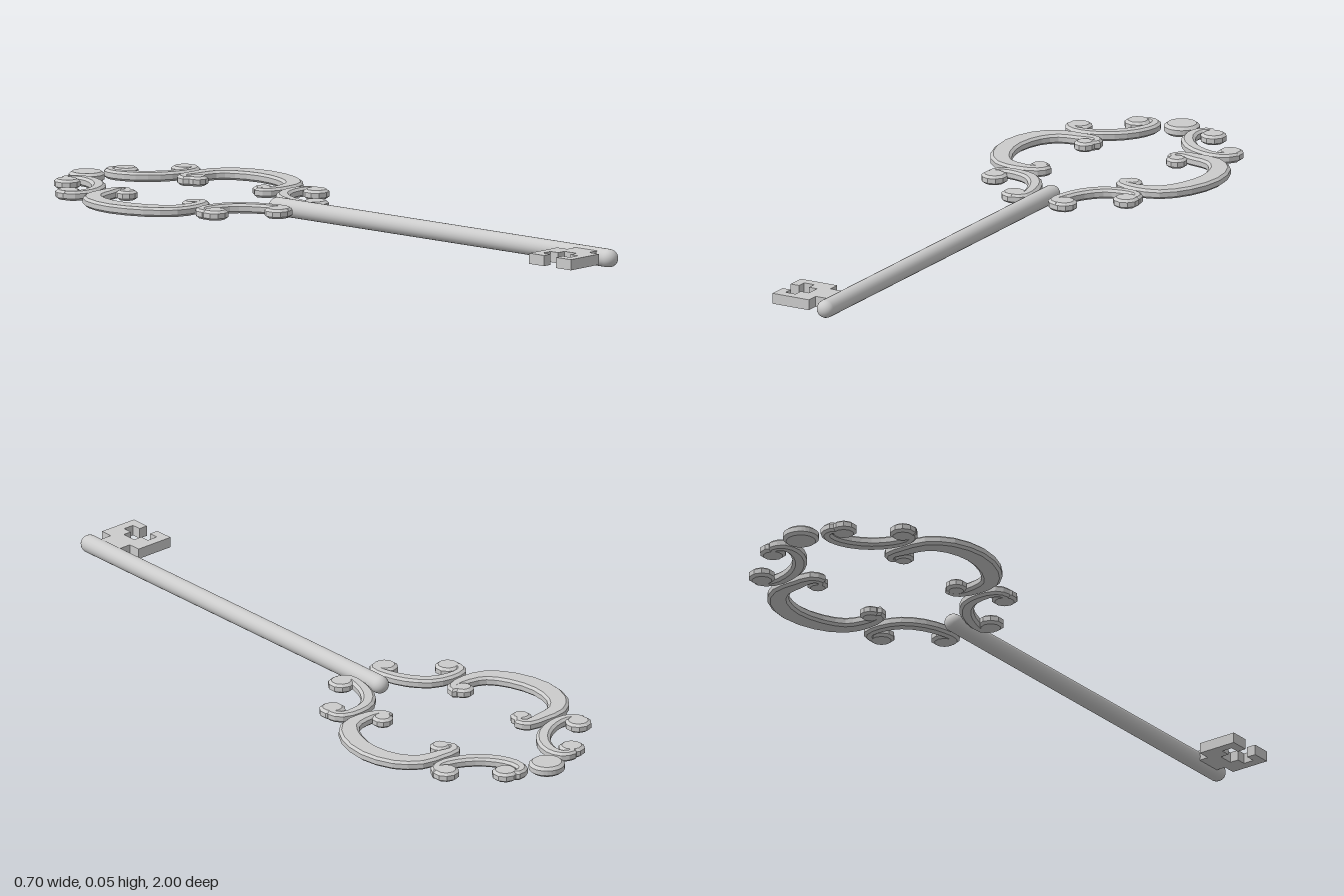
import * as THREE from 'three';

const MID = 0.0265, HALF = 0.0135; // height of the flat metalwork

export function createModel() {
  const group = new THREE.Group();
  const smooth = new THREE.MeshStandardMaterial({ color: 0xcccccc });
  const flat = new THREE.MeshStandardMaterial({ color: 0xcccccc, flatShading: true });
  const add = (name, geometry, material, parent = group) => {
    const mesh = new THREE.Mesh(geometry, material);
    mesh.name = name;
    parent.add(mesh);
    return mesh;
  };

  // Bevelled ribbon swept along a flat path, half width w(t)
  function ribbon(points, w) {
    const curve = new THREE.CatmullRomCurve3(points.map(([x, z]) => new THREE.Vector3(x, 0, z)));
    const n = (points.length - 1) * 2, pos = [], idx = [];
    for (let i = 0; i <= n; i++) {
      const t = i / n, p = curve.getPoint(t), d = curve.getTangent(t), h = w(t), b = Math.min(0.008, h * 0.5);
      const section = [[h, -0.007], [h, 0.007], [h - b, HALF], [b - h, HALF], [-h, 0.007], [-h, -0.007], [b - h, -HALF], [h - b, -HALF]];
      for (const [s, y] of section) pos.push(p.x + d.z * s, MID + y, p.z - d.x * s);
    }
    for (let i = 0; i < n; i++) for (let j = 0; j < 8; j++) {
      const a = i * 8 + j, b = i * 8 + (j + 1) % 8;
      idx.push(a, b, a + 8, b, b + 8, a + 8);
    }
    for (let j = 1; j < 7; j++) idx.push(0, j + 1, j, n * 8, n * 8 + j, n * 8 + j + 1);
    const g = new THREE.BufferGeometry();
    g.setAttribute('position', new THREE.Float32BufferAttribute(pos, 3));
    g.setIndex(idx);
    g.computeVertexNormals();
    return g;
  }

  // Bevelled disc
  const disc = (r, sides, h = HALF) => new THREE.LatheGeometry(
    [[0, -h], [r - 0.009, -h], [r, -0.007], [r, 0.007], [r - 0.009, h], [0, h]].map(p => new THREE.Vector2(...p)), sides);

  // Bow: three scrolls per side, [x, z] centre lines; mid = half width at the middle
  const scrolls = [
    { name: 'upperScroll', mid: 0.02, r: 0.037, path: [[0.122, -0.915], [0.1, -0.942], [0.074, -0.931], [0.066, -0.894],
      [0.085, -0.841], [0.127, -0.794], [0.18, -0.767], [0.233, -0.762], [0.265, -0.788], [0.243, -0.804]] },
    { name: 'sideScroll', mid: 0.032, r: 0.03, path: [[0.148, -0.672], [0.122, -0.693], [0.138, -0.716], [0.185, -0.714],
      [0.249, -0.704], [0.296, -0.656], [0.317, -0.567], [0.296, -0.471], [0.249, -0.407], [0.19, -0.392],
      [0.138, -0.4], [0.122, -0.422], [0.148, -0.429]] },
    { name: 'lowerScroll', mid: 0.02, r: 0.037, path: [[0.212, -0.291], [0.232, -0.312], [0.217, -0.339], [0.169, -0.345],
      [0.116, -0.328], [0.074, -0.28], [0.052, -0.222], [0.047, -0.175], [0.069, -0.156], [0.08, -0.177]] },
  ];
  for (const [side, sx] of [['left', 1], ['right', -1]]) {
    for (const s of scrolls) {
      const part = new THREE.Group();
      part.name = `${side} ${s.name}`;
      const path = s.path.map(([x, z]) => [x * sx, z]);
      add('stem', ribbon(path, t => 0.013 + (s.mid - 0.013) * Math.sin(Math.PI * t) ** 2), flat, part);
      for (const [x, z] of [path[0], path[path.length - 1]])
        add('curlEnd', disc(s.r, 10), flat, part).position.set(x, MID, z);
      group.add(part);
    }
  }

  // Round stud at the tip of the bow
  add('tipDisc', disc(0.05, 28, 0.0145), flat).position.set(0, 0.0255, -0.95);

  // Shaft with rounded ends
  const shaft = add('shaft', new THREE.CapsuleGeometry(0.0255, 1.219, 6, 24), smooth);
  shaft.rotation.x = Math.PI / 2;
  shaft.position.set(-0.002, 0.0255, 0.365);

  // Bit: two facing hooks, mirrored about its middle line
  const half = [[0, 0.04], [-0.053, 0.04], [-0.053, 0.077], [-0.17, 0.077], [-0.17, 0.022], [-0.143, 0.022],
    [-0.143, 0.05], [-0.111, 0.05], [-0.111, 0.022], [-0.085, 0.022]];
  const outline = [...half, ...half.map(([x, y]) => [x, -y]).reverse()];
  const bit = add('bit', new THREE.ExtrudeGeometry(
    new THREE.Shape(outline.map(p => new THREE.Vector2(...p))), { depth: 0.03, bevelEnabled: false }), flat);
  bit.rotation.x = -Math.PI / 2;
  bit.position.set(0, 0.015, 0.905);

  return group;
}
